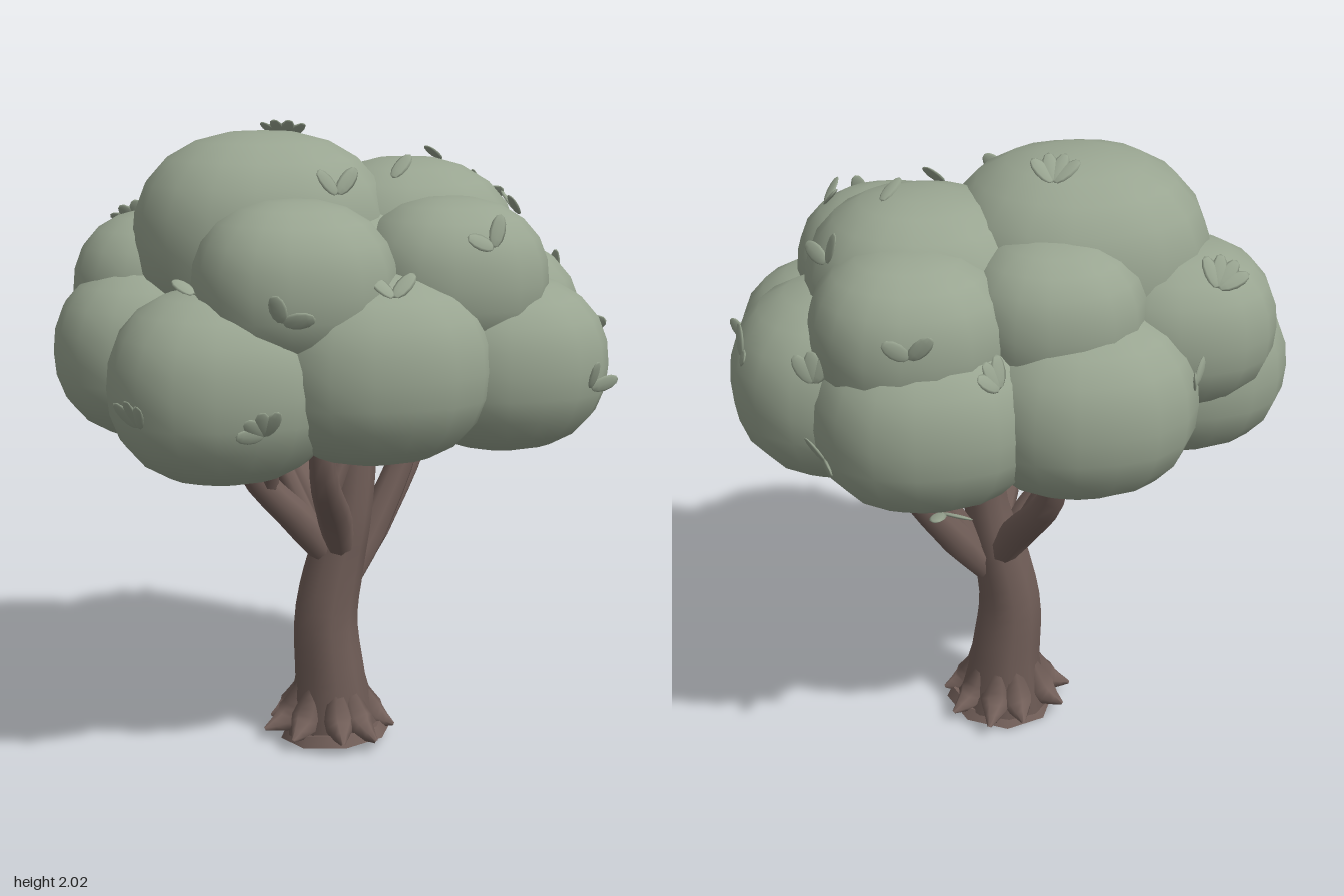
import * as THREE from 'three';

const bark = new THREE.MeshStandardMaterial({ color: 0x725f59 });
bark.name = 'bark brown';
const foliage = new THREE.MeshStandardMaterial({ color: 0x99a591 });
foliage.name = 'foliage green';

// Crown lobes: centre x, y, z, size and optional extra width; all share one flattened form
const FORM = new THREE.Vector3(1.06, 0.9, 0.98);
const LOBES = [
  [0.07, 1.32, 0.335, 0.33, 1.03], [-0.38, 1.27, 0.3, 0.33], [-0.54, 1.32, -0.07, 0.31],
  [0.495, 1.36, -0.13, 0.335], [0.5, 1.3, 0.23, 0.305], [0.28, 1.33, -0.33, 0.33],
  [-0.18, 1.34, -0.33, 0.33], [-0.5, 1.5, -0.18, 0.28], [-0.17, 1.56, 0.32, 0.29],
  [0.33, 1.56, 0.23, 0.28], [-0.21, 1.667, -0.03, 0.37, 1.04], [0.26, 1.61, -0.08, 0.335],
  [-0.1, 1.6, -0.29, 0.26], [0.32, 1.57, -0.31, 0.28], [0, 1.42, 0, 0.42],
].map(([x, y, z, size, wide = 1]) => ({
  centre: new THREE.Vector3(x, y, z),
  radii: FORM.clone().multiplyScalar(size).multiply(new THREE.Vector3(wide, 1, 1)),
}));

// Lobes are slightly boxy: |x|^P + |y|^P + |z|^P = 1
const P = 2.3;
const fullness = (u) => Math.abs(u.x) ** P + Math.abs(u.y) ** P + Math.abs(u.z) ** P;
const slope = (c) => Math.sign(c) * Math.abs(c) ** (P - 1);
const outward = (u) => new THREE.Vector3(slope(u.x), slope(u.y), slope(u.z)).normalize();

// Tapered round limb along a smooth path; each point is [x, y, z, radius]
function limb(name, pts, sides, segs) {
  const curve = new THREE.CatmullRomCurve3(pts.map((p) => new THREE.Vector3(p[0], p[1], p[2])));
  const geo = new THREE.TubeGeometry(curve, segs, 1, sides, false);
  const pos = geo.attributes.position;
  const v = new THREE.Vector3();
  for (let i = 0; i <= segs; i++) {
    const c = curve.getPointAt(i / segs);
    const t = curve.getUtoTmapping(i / segs) * (pts.length - 1);
    const k = Math.min(Math.floor(t), pts.length - 2);
    const r = THREE.MathUtils.lerp(pts[k][3], pts[k + 1][3], t - k);
    for (let j = 0; j <= sides; j++) {
      const n = i * (sides + 1) + j;
      v.fromBufferAttribute(pos, n).sub(c).multiplyScalar(r).add(c);
      pos.setXYZ(n, v.x, v.y, v.z);
    }
  }
  const mesh = new THREE.Mesh(geo, bark);
  mesh.name = name;
  return mesh;
}

function buildWood() {
  const g = new THREE.Group();
  g.name = 'wood';
  g.add(limb('trunk', [
    [0.01, 0.04, 0, 0.165], [0, 0.2, 0, 0.118], [-0.015, 0.42, 0, 0.104],
    [0.015, 0.6, 0, 0.096], [0.06, 0.78, 0, 0.076], [0.1, 1.2, -0.02, 0.065],
  ], 10, 20));

  // Tilted underside of the trunk
  const base = new THREE.Mesh(new THREE.CylinderGeometry(0.165, 0.185, 0.035, 8), bark);
  base.name = 'trunkBase';
  base.position.set(0.015, 0.038, 0.01);
  base.rotation.set(-0.06, 0, 0.07);
  g.add(base);

  // Broad root flares round the foot
  for (let i = 0; i < 9; i++) {
    const a = (i / 9) * Math.PI * 2 + 0.25 + 0.1 * Math.sin(i * 2.3);
    const reach = 0.21 + 0.015 * Math.sin(i * 1.9);
    const at = (d, y, r) => [d * Math.cos(a), y, d * Math.sin(a), r];
    g.add(limb('root', [
      at(0.085, 0.22, 0.012), at(0.105, 0.14, 0.045), at(0.135, 0.085, 0.056), at(reach, 0.045, 0.006),
    ], 7, 7));
  }

  // Main boughs: height where they leave the trunk, then tip x and z inside the crown
  for (const [y, x, z] of [
    [0.62, -0.34, 0.13], [0.56, 0.31, -0.1], [0.57, 0.37, -0.2], [0.66, -0.1, 0.37], [0.62, -0.13, -0.35],
  ]) {
    const at = (f, h, r) => [0.04 * (1 - f) + x * f, h, z * f, r];
    g.add(limb('bough', [
      at(0.1, y, 0.045), at(0.36, y + 0.13, 0.056), at(0.85, 0.97, 0.043), at(1, 1.2, 0.034),
    ], 8, 9));
  }

  // Slim forks from the boughs: start x, y, z, then tip x and z
  for (const [x, y, z, tx, tz] of [
    [-0.05, 0.9, 0.24, 0.06, 0.2], [-0.06, 0.72, -0.02, -0.24, -0.12], [-0.22, 0.9, 0.1, -0.22, 0.24],
  ]) {
    g.add(limb('fork', [[x, y, z, 0.036], [tx, 1.15, tz, 0.027]], 7, 4));
  }
  return g;
}

function buildCrown() {
  const g = new THREE.Group();
  g.name = 'crown';
  const geo = new THREE.SphereGeometry(1, 18, 12);
  const { position, normal } = geo.attributes;
  const u = new THREE.Vector3();
  for (let i = 0; i < position.count; i++) {
    u.fromBufferAttribute(position, i);
    u.divideScalar(fullness(u) ** (1 / P));
    position.setXYZ(i, u.x, u.y, u.z);
    normal.setXYZ(i, ...outward(u));
  }
  for (const { centre, radii } of LOBES) {
    const m = new THREE.Mesh(geo, foliage);
    m.name = 'crownLobe';
    m.position.copy(centre);
    m.scale.copy(radii);
    g.add(m);
  }
  return g;
}

// Move inward along a ray until the crown is met; gives the point and its outward normal
function land(origin, dir) {
  for (let t = 1.2; t > 0; t -= 0.004) {
    const point = origin.clone().addScaledVector(dir, t);
    for (const { centre, radii } of LOBES) {
      const u = point.clone().sub(centre).divide(radii);
      if (fullness(u) <= 1) return { point, normal: outward(u).divide(radii).normalize() };
    }
  }
  return { point: origin, normal: dir };
}

function buildLeaves() {
  const g = new THREE.Group();
  g.name = 'leaves';
  // Thin pointed leaf growing up from its stalk
  const leaf = new THREE.SphereGeometry(1, 8, 6);
  leaf.scale(0.025, 0.05, 0.006).translate(0, 0.05, 0);

  // Sprigs: a rough x, y, z on the crown and the number of leaves
  const sprigs = [
    [-0.64, 1.2, 0.5, 3], [-0.3, 1.18, 0.6, 4], [-0.25, 1.5, 0.6, 2], [0.09, 1.57, 0.6, 2],
    [0.38, 1.67, 0.45, 2], [0.68, 1.26, 0.45, 2], [-0.03, 1.84, 0.28, 2], [0.82, 1.38, 0.12, 2],
    [0.82, 1.49, -0.25, 2], [0.64, 1.48, -0.45, 3], [0.55, 1.76, -0.23, 2], [0.6, 1.25, -0.5, 2],
    [-0.12, 2, -0.22, 4], [0.38, 1.9, -0.12, 1], [0.18, 1.88, 0.12, 1], [0.5, 1.74, 0.25, 2],
    [-0.46, 1.55, 0.37, 2], [-0.57, 1.68, -0.38, 4], [0.34, 1.6, -0.57, 2], [0.1, 1.5, -0.62, 3],
    [0.25, 1.1, -0.5, 2], [-0.45, 1.42, -0.45, 2],
  ];
  const origin = new THREE.Vector3(0, 1.4, 0);
  sprigs.forEach(([x, y, z, count], k) => {
    const { point, normal } = land(origin, new THREE.Vector3(x, y, z).sub(origin).normalize());
    const sprig = new THREE.Group();
    sprig.name = 'sprig';
    sprig.position.copy(point);
    sprig.lookAt(point.clone().add(normal));
    for (let i = 0; i < count; i++) {
      const m = new THREE.Mesh(leaf, foliage);
      m.name = 'leaf';
      const spread = (i - (count - 1) / 2) * (count > 2 ? 0.55 : 1.6);
      m.rotation.set(0.3, 0, spread + 0.6 * Math.sin(k * 2.1), 'ZXY');
      sprig.add(m);
    }
    g.add(sprig);
  });
  return g;
}

export function createModel() {
  const tree = new THREE.Group();
  tree.name = 'tree';
  tree.add(buildWood(), buildCrown(), buildLeaves());
  return tree;
}
